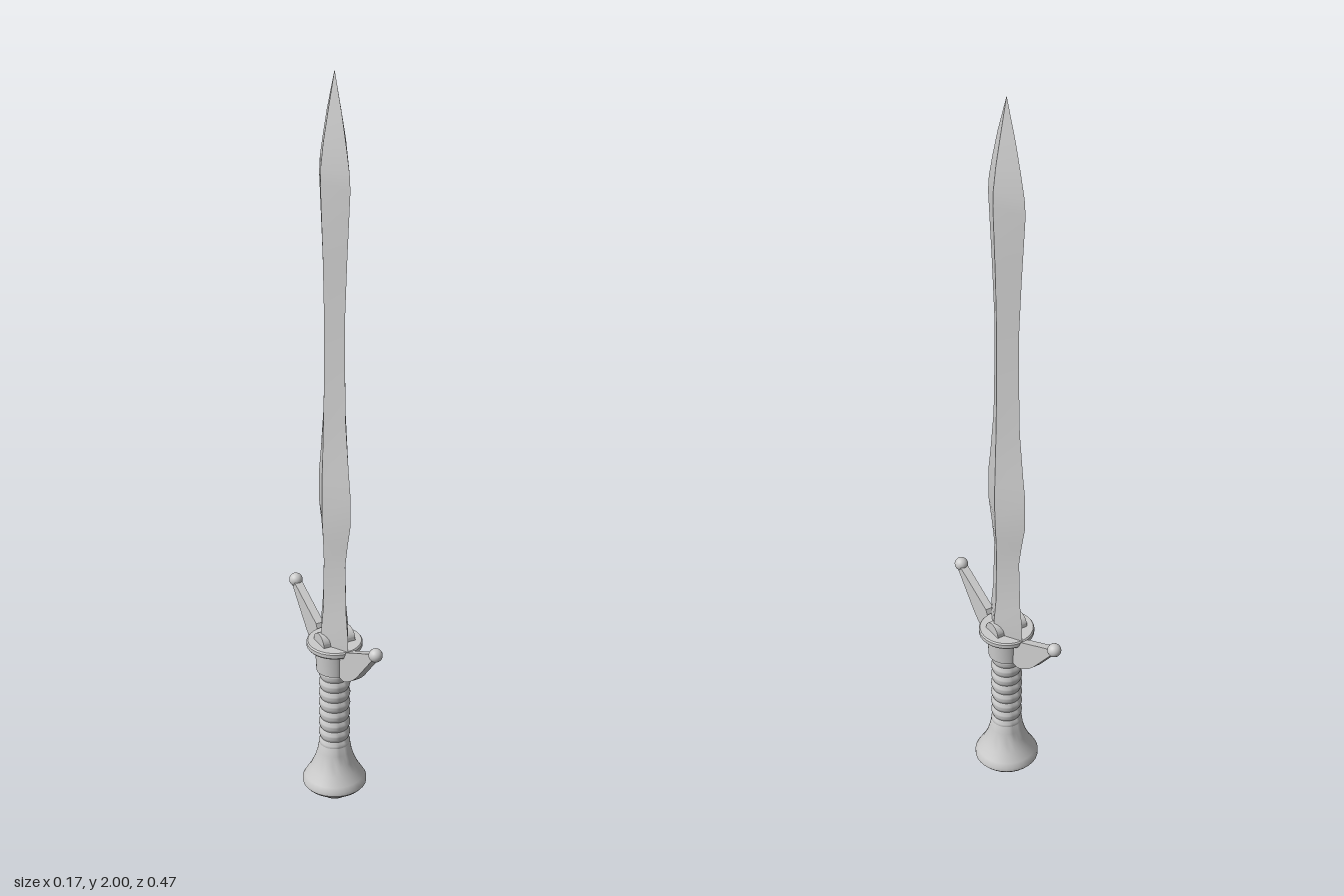
import * as THREE from 'three';
import { toCreasedNormals } from 'three/addons/utils/BufferGeometryUtils.js';

const material = new THREE.MeshStandardMaterial({ color: 0xcccccc });

function add(parent, name, geometry) {
  const mesh = new THREE.Mesh(geometry, material);
  mesh.name = name;
  parent.add(mesh);
  return mesh;
}

// Lathe from [radius, y] pairs listed bottom to top
function turned(points, segments = 32) {
  const lathe = new THREE.LatheGeometry(points.map(([r, y]) => new THREE.Vector2(r, y)), segments);
  return toCreasedNormals(lathe, 0.6);
}

// Diamond cross-sections [y, half width in z, half thickness in x], closed by a point
function bladeGeometry() {
  const rows = [
    [0.46, 0.073, 0.042], [0.52, 0.072, 0.039], [0.58, 0.063, 0.033], [0.72, 0.057, 0.031],
    [0.78, 0.068, 0.033], [0.845, 0.083, 0.036], [0.935, 0.083, 0.036], [1.0, 0.073, 0.034],
    [1.12, 0.058, 0.031], [1.25, 0.054, 0.029], [1.4, 0.053, 0.029], [1.55, 0.063, 0.032],
    [1.73, 0.078, 0.038], [1.77, 0.074, 0.037], [1.83, 0.058, 0.03], [1.9, 0.037, 0.018], [2, 0, 0],
  ];
  const positions = [];
  const index = [];
  rows.forEach(([y, w, t]) => positions.push(t, y, 0, 0, y, -w, -t, y, 0, 0, y, w));
  for (let r = 0; r < rows.length - 1; r++) {
    for (let k = 0; k < 4; k++) {
      const a = r * 4 + k;
      const b = r * 4 + (k + 1) % 4;
      index.push(a, b, b + 4);
      if (r < rows.length - 2) index.push(a, b + 4, a + 4);
    }
  }
  index.push(0, 2, 1, 0, 3, 2);
  const geometry = new THREE.BufferGeometry();
  geometry.setAttribute('position', new THREE.Float32BufferAttribute(positions, 3));
  geometry.setIndex(index);
  return toCreasedNormals(geometry, 0.4);
}

// Curved side arm, drawn in the z-y plane and given thickness along x
function quillonGeometry() {
  const shape = new THREE.Shape();
  shape.moveTo(0.03, 0.39);
  shape.lineTo(0.07, 0.39);
  shape.quadraticCurveTo(0.115, 0.41, 0.15, 0.453);
  shape.lineTo(0.223, 0.54);
  shape.lineTo(0.212, 0.55);
  shape.lineTo(0.082, 0.484);
  shape.lineTo(0.072, 0.462);
  shape.lineTo(0.03, 0.46);
  const geometry = new THREE.ExtrudeGeometry(shape, { depth: 0.022, bevelEnabled: false, curveSegments: 8 });
  geometry.translate(0, 0, -0.011);
  geometry.rotateY(-Math.PI / 2);
  return toCreasedNormals(geometry, 0.5);
}

export function createModel() {
  const sword = new THREE.Group();
  sword.name = 'sword';

  add(sword, 'blade', bladeGeometry());

  // Round-topped lugs on both flat faces of the blade root
  const lug = add(sword, 'bladeLug', toCreasedNormals(new THREE.CylinderGeometry(0.028, 0.028, 0.092, 20), 0.6));
  lug.rotation.z = Math.PI / 2;
  lug.position.y = 0.478;

  // Guard: collar, disc and two arms ending in balls
  const guard = new THREE.Group();
  guard.name = 'guard';
  sword.add(guard);
  add(guard, 'collar', turned([[0, 0.39], [0.048, 0.39], [0.051, 0.46], [0, 0.46]]));
  add(guard, 'disc', turned([[0, 0.459], [0.07, 0.459], [0.073, 0.463], [0.073, 0.473], [0.07, 0.477], [0, 0.477]]));
  for (const side of [0, 1]) {
    const arm = new THREE.Group();
    arm.name = side ? 'backArm' : 'frontArm';
    arm.rotation.y = side * Math.PI;
    add(arm, 'quillon', quillonGeometry());
    add(arm, 'ball', new THREE.SphereGeometry(0.018, 20, 14)).position.set(0, 0.547, 0.218);
    guard.add(arm);
  }

  // Grip with evenly spaced rounded ridges
  const grip = [];
  const ridges = 8, steps = 6;
  for (let i = 0; i <= ridges * steps; i++) {
    const swell = Math.abs(Math.sin((i / steps) * Math.PI));
    grip.push([0.0365 + 0.005 * swell, 0.15 + (0.245 * i) / (ridges * steps)]);
  }
  add(sword, 'grip', turned(grip));

  // Flared pommel with a stepped button beneath
  add(sword, 'pommel', turned([
    [0, 0], [0.034, 0], [0.037, 0.005], [0.037, 0.017], [0.048, 0.019], [0.078, 0.034],
    [0.085, 0.042], [0.085, 0.052], [0.078, 0.064], [0.064, 0.087], [0.053, 0.112],
    [0.045, 0.14], [0.041, 0.165], [0.036, 0.175],
  ]));

  return sword;
}
